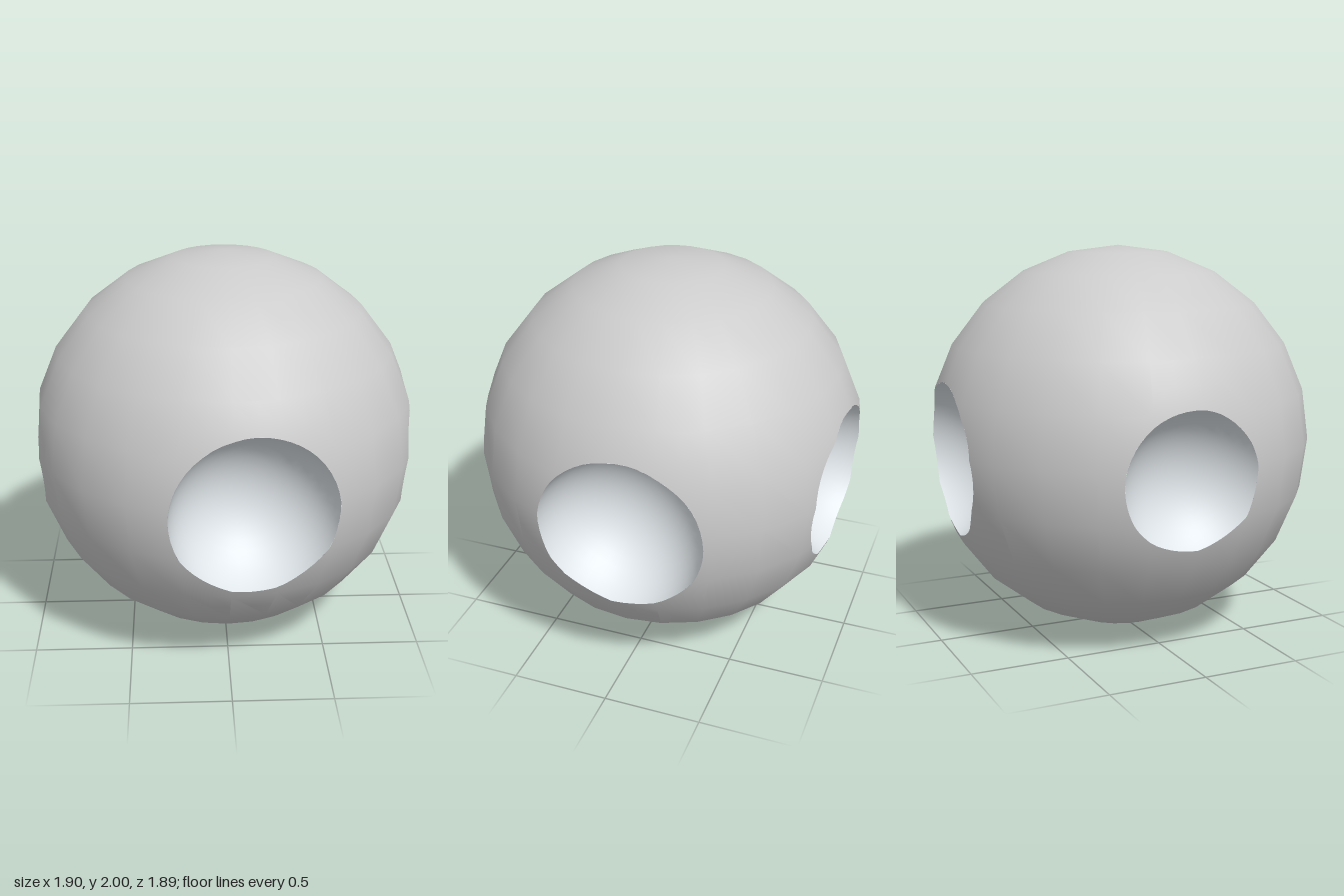
import * as THREE from 'three';

const CENTRE_Y = 1;
const BALL = 0.42; // radius of the round scoops

// Scoops: direction from the body centre and radius of the opening
const SCOOPS = [
  { name: 'frontScoop', dir: [0.12, -0.07, 0.99], rim: 0.413 },
  { name: 'rightScoop', dir: [0.99, -0.07, -0.06], rim: 0.415 },
  { name: 'backScoop', dir: [0.055, -0.07, -0.99], rim: 0.397 },
  { name: 'leftScoop', dir: [-0.99, -0.07, -0.045], rim: 0.347 },
].map(({ name, dir, rim }) => {
  const axis = new THREE.Vector3(...dir).normalize();
  const distance = Math.sqrt(1 - rim * rim) + Math.sqrt(BALL * BALL - rim * rim);
  return { name, axis, centre: axis.clone().multiplyScalar(distance) };
});

// Triangles of the faceted sphere, as triples of points
function sphereTriangles() {
  const pos = new THREE.SphereGeometry(1, 24, 12).toNonIndexed().attributes.position;
  const triangles = [];
  for (let i = 0; i < pos.count; i += 3) {
    triangles.push([0, 1, 2].map((k) => new THREE.Vector3().fromBufferAttribute(pos, i + k)));
  }
  return triangles;
}

function makeGeometry(positions, normals) {
  const geometry = new THREE.BufferGeometry();
  geometry.setAttribute('position', new THREE.Float32BufferAttribute(positions, 3));
  geometry.setAttribute('normal', new THREE.Float32BufferAttribute(normals, 3));
  return geometry;
}

// Sphere skin with the scoop openings trimmed out
function bodyGeometry(triangles) {
  const positions = [], normals = [];

  // Keep the part of a triangle that lies outside the scoop ball
  const trim = (tri, scoop) => {
    if (!scoop) return tri;
    const depth = (p) => p.distanceTo(scoop.centre) - BALL;
    const kept = [];
    tri.forEach((a, i) => {
      const b = tri[(i + 1) % 3];
      const da = depth(a), db = depth(b);
      if (da >= 0) kept.push(a);
      if (da >= 0 !== db >= 0) kept.push(a.clone().lerp(b, da / (da - db)));
    });
    return kept;
  };

  // Refine only near a rim, so the openings are cleanly round
  const addTriangle = (tri, level) => {
    const [a, b, c] = tri;
    const mid = a.clone().add(b).add(c).divideScalar(3);
    const reach = Math.max(...tri.map((p) => p.distanceTo(mid)));
    const scoop = SCOOPS.find((s) => mid.distanceTo(s.centre) < BALL + reach);
    if (scoop && level > 0) {
      const ab = a.clone().lerp(b, 0.5), bc = b.clone().lerp(c, 0.5), ca = c.clone().lerp(a, 0.5);
      [[a, ab, ca], [ab, b, bc], [ca, bc, c], [ab, bc, ca]].forEach((t) => addTriangle(t, level - 1));
      return;
    }
    const poly = trim(tri, scoop);
    for (let i = 1; i + 1 < poly.length; i++) {
      for (const p of [poly[0], poly[i], poly[i + 1]]) {
        positions.push(p.x, p.y, p.z);
        normals.push(...p.clone().normalize().toArray());
      }
    }
  };
  triangles.forEach((tri) => addTriangle(tri, 3));
  return makeGeometry(positions, normals);
}

// Concave bowl, each meridian running from the deepest point to the body skin
function bowlGeometry({ axis, centre }, planes) {
  const SIDES = 48, RINGS = 10;
  const u = new THREE.Vector3(0, 1, 0).cross(axis).normalize();
  const v = axis.clone().cross(u);
  const direction = (around, tilt) => axis.clone().multiplyScalar(-Math.cos(tilt))
    .addScaledVector(u, Math.sin(tilt) * Math.cos(around))
    .addScaledVector(v, Math.sin(tilt) * Math.sin(around));
  const inside = (d) => {
    const p = centre.clone().addScaledVector(d, BALL);
    return planes.every((plane) => plane.distanceToPoint(p) < 0);
  };

  const positions = [], normals = [], index = [];
  for (let i = 0; i <= SIDES; i++) {
    const around = (i / SIDES) * Math.PI * 2;
    let low = 0, high = Math.PI * 0.75;
    for (let k = 0; k < 20; k++) {
      const tilt = (low + high) / 2;
      if (inside(direction(around, tilt))) low = tilt;
      else high = tilt;
    }
    for (let j = 0; j <= RINGS; j++) {
      const d = direction(around, (low * j) / RINGS);
      positions.push(...centre.clone().addScaledVector(d, BALL).toArray());
      normals.push(-d.x, -d.y, -d.z);
      if (i < SIDES && j < RINGS) {
        const a = i * (RINGS + 1) + j, b = a + RINGS + 1;
        index.push(a, a + 1, b + 1, a, b + 1, b);
      }
    }
  }
  const geometry = makeGeometry(positions, normals);
  geometry.setIndex(index);
  return geometry;
}

export function createModel() {
  const model = new THREE.Group();
  model.name = 'scoopedBall';
  const triangles = sphereTriangles();
  const planes = triangles.map((t) => new THREE.Plane().setFromCoplanarPoints(...t));

  const addPart = (name, geometry, color, side) => {
    const mesh = new THREE.Mesh(geometry, new THREE.MeshStandardMaterial({ color, side }));
    mesh.name = name;
    mesh.position.y = CENTRE_Y;
    model.add(mesh);
  };

  addPart('body', bodyGeometry(triangles), 0xcccccc, THREE.FrontSide);
  // Paler lining in the scoops
  for (const scoop of SCOOPS) {
    addPart(scoop.name, bowlGeometry(scoop, planes), 0xe0e6ea, THREE.DoubleSide);
  }
  return model;
}
